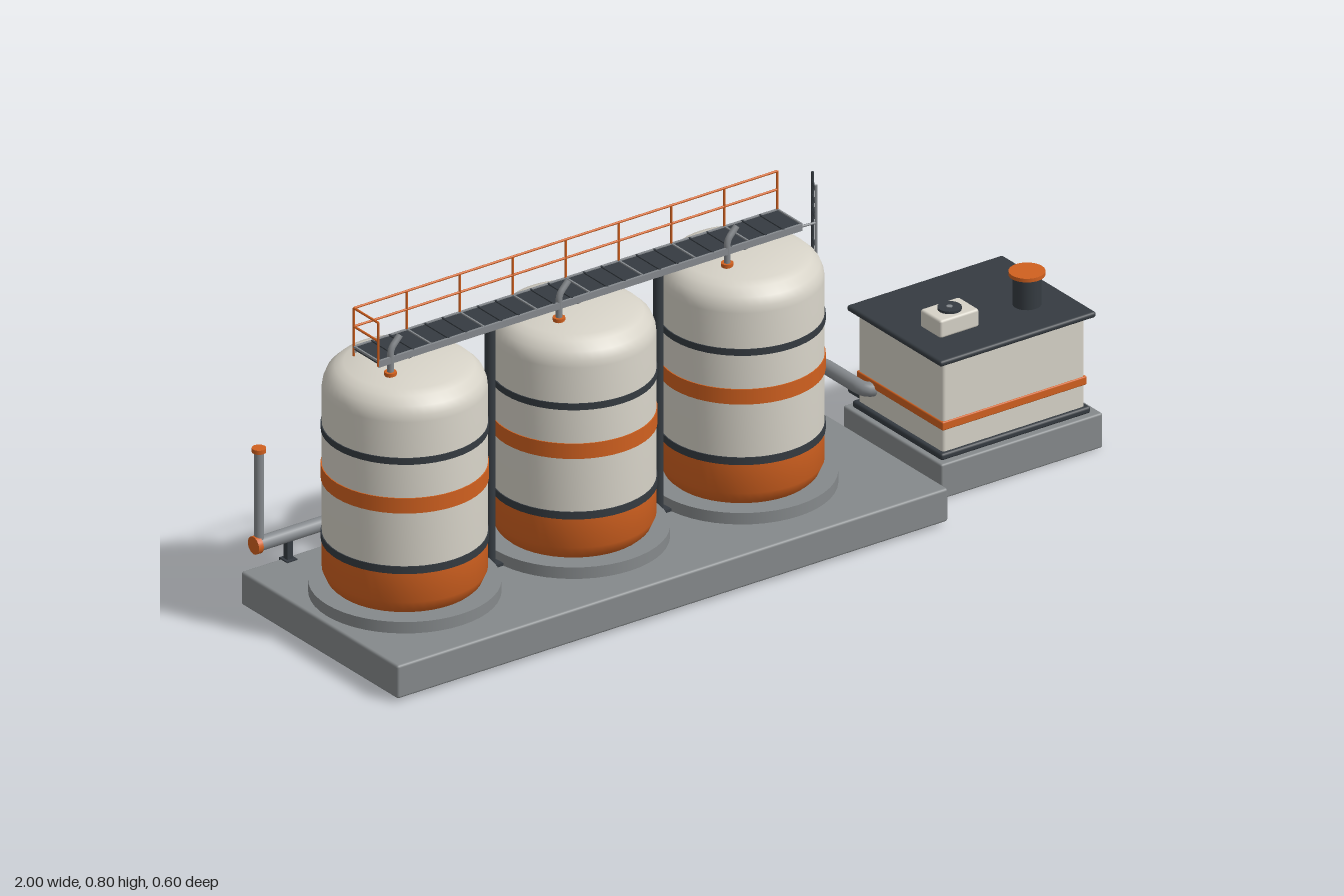
import * as THREE from 'three';
import { RoundedBoxGeometry } from 'three/addons/geometries/RoundedBoxGeometry.js';
import { toCreasedNormals } from 'three/addons/utils/BufferGeometryUtils.js';

const paint = (name, color) => Object.assign(new THREE.MeshStandardMaterial({ color }), { name });
const concrete = paint('concrete grey', 0x85898b);
const cream = paint('cream', 0xd6d2c7);
const orange = paint('orange', 0xd0601f);
const dark = paint('charcoal', 0x353b41);
const steel = paint('steel grey', 0x85898d);

const V = (x, y, z) => new THREE.Vector3(x, y, z);

function add(parent, name, geo, mat, x = 0, y = 0, z = 0) {
  const m = new THREE.Mesh(geo, mat);
  m.name = name;
  m.position.set(x, y, z);
  parent.add(m);
  return m;
}

// Box given by its extents along each axis
function box(parent, name, mat, [x0, x1], [y0, y1], [z0, z1], r = 0) {
  const s = [x1 - x0, y1 - y0, z1 - z0];
  const geo = r ? new RoundedBoxGeometry(...s, 2, r) : new THREE.BoxGeometry(...s);
  return add(parent, name, geo, mat, (x0 + x1) / 2, (y0 + y1) / 2, (z0 + z1) / 2);
}

// Round bar between two points
function rod(parent, name, mat, a, b, r, sides = 12) {
  const d = b.clone().sub(a);
  const m = add(parent, name, new THREE.CylinderGeometry(r, r, d.length(), sides), mat);
  m.position.copy(a).addScaledVector(d, 0.5);
  m.quaternion.setFromUnitVectors(V(0, 1, 0), d.normalize());
  return m;
}

// Bent pipe with straight runs and rounded corners
function pipe(parent, name, mat, pts, r, bend) {
  const path = new THREE.CurvePath();
  let from = pts[0];
  for (let i = 1; i < pts.length - 1; i++) {
    const p = pts[i];
    const a = p.clone().add(pts[i - 1].clone().sub(p).setLength(bend));
    const b = p.clone().add(pts[i + 1].clone().sub(p).setLength(bend));
    path.add(new THREE.LineCurve3(from, a));
    path.add(new THREE.QuadraticBezierCurve3(a, p, b));
    from = b;
  }
  path.add(new THREE.LineCurve3(from, pts[pts.length - 1]));
  return add(parent, name, new THREE.TubeGeometry(path, 160, r, 16), mat);
}

function lathe(parent, name, mat, pts) {
  const geo = new THREE.LatheGeometry(pts.map(p => new THREE.Vector2(...p)), 48);
  return add(parent, name, toCreasedNormals(geo, 0.6), mat);
}

function buildTank(x) {
  const t = new THREE.Group();
  t.name = 'tank';
  t.position.x = x;
  add(t, 'plinthRing', new THREE.CylinderGeometry(0.213, 0.213, 0.03, 48), concrete, 0, 0.102, 0);
  lathe(t, 'tankSkirt', orange, [[0, 0.112], [0.158, 0.112], [0.172, 0.125], [0.183, 0.15], [0.183, 0.225]]);
  lathe(t, 'tankShell', cream, [[0.183, 0.225], [0.183, 0.592], [0.181, 0.607], [0.173, 0.626],
    [0.155, 0.643], [0.135, 0.651], [0.08, 0.66], [0, 0.665]]);
  for (const [y, h, mat] of [[0.23, 0.018, dark], [0.388, 0.037, orange], [0.497, 0.016, dark]])
    add(t, 'band', new THREE.CylinderGeometry(0.1855, 0.1855, h, 48), mat, 0, y, 0);

  // Roof hatch
  add(t, 'hatch', new THREE.CylinderGeometry(0.042, 0.042, 0.016, 24), dark, 0.08, 0.66, -0.045);
  add(t, 'hatchLid', new THREE.CylinderGeometry(0.034, 0.036, 0.009, 24), dark, 0.08, 0.671, -0.045);
  add(t, 'hatchGrip', new THREE.BoxGeometry(0.03, 0.004, 0.006), orange, 0.08, 0.677, -0.045);

  // Gooseneck vent
  pipe(t, 'vent', steel, [V(-0.072, 0.645, 0.045), V(-0.072, 0.72, 0.045), V(-0.046, 0.748, 0.045)], 0.0075, 0.014);
  add(t, 'ventFlange', new THREE.CylinderGeometry(0.014, 0.014, 0.012, 16), orange, -0.072, 0.66, 0.045);

  // Level gauge
  rod(t, 'gaugeTube', dark, V(0, 0.222, -0.19), V(0, 0.508, -0.19), 0.006);
  rod(t, 'gaugeGlass', steel, V(0, 0.245, -0.197), V(0, 0.48, -0.197), 0.003);
  for (const y of [0.225, 0.502])
    box(t, 'gaugeMount', dark, [-0.008, 0.008], [y - 0.005, y + 0.005], [-0.196, -0.178]);

  // Information plate
  box(t, 'plate', dark, [-0.04, 0.04], [0.165, 0.212], [-0.192, -0.184]);
  for (const px of [-0.022, 0, 0.022]) for (const py of [0.179, 0.197])
    box(t, 'plateMark', cream, [px - 0.008, px + 0.008], [py - 0.005, py + 0.005], [-0.194, -0.19]);

  // Outlet branch and valve
  rod(t, 'outlet', orange, V(0, 0.15, -0.17), V(0, 0.15, -0.28), 0.013, 16);
  for (const z of [-0.188, -0.211, -0.255])
    rod(t, 'flange', orange, V(0, 0.15, z + 0.005), V(0, 0.15, z - 0.005), 0.023, 20);
  add(t, 'valveBody', new THREE.SphereGeometry(0.019, 16, 12), orange, 0, 0.15, -0.234);
  rod(t, 'valveStem', steel, V(0, 0.15, -0.234), V(0, 0.19, -0.234), 0.004);
  add(t, 'handwheel', new THREE.TorusGeometry(0.016, 0.003, 8, 20), orange, 0, 0.19, -0.234).rotation.x = Math.PI / 2;
  box(t, 'wheelSpoke', orange, [-0.016, 0.016], [0.188, 0.192], [-0.236, -0.232]);
  return t;
}

function buildWalkway() {
  const w = new THREE.Group();
  w.name = 'walkway';
  const x0 = -0.873, x1 = 0.28, zb = -0.042, zf = 0.049;
  box(w, 'deck', dark, [x0, x1], [0.695, 0.702], [zb, zf]);
  for (const z of [zb, zf]) box(w, 'stringer', steel, [x0, x1], [0.688, 0.704], [z - 0.003, z + 0.003]);
  for (let i = 0; i <= 24; i++) {
    const x = x0 + (x1 - x0) * i / 24;
    box(w, 'gratingBar', i % 3 ? dark : steel, [x - 0.002, x + 0.002], [0.7, 0.705], [zb, zf]);
  }
  // Columns with diagonal brackets
  for (const x of [-0.535, -0.077]) {
    rod(w, 'column', dark, V(x, 0.09, 0.003), V(x, 0.695, 0.003), 0.012, 16);
    box(w, 'columnFoot', dark, [x - 0.025, x + 0.025], [0.088, 0.096], [-0.022, 0.028]);
  }
  for (const x of [-0.765, -0.535, -0.306, -0.077, 0.152]) {
    rod(w, 'bracket', steel, V(x, 0.66, 0.003), V(x, 0.69, zf - 0.005), 0.004, 8);
    rod(w, 'bracket', steel, V(x, 0.66, 0.003), V(x, 0.69, zb + 0.005), 0.004, 8);
    rod(w, 'saddle', dark, V(x, 0.655, 0.003), V(x, 0.695, 0.003), 0.011);
  }
  // Guard rail along the back and one end
  for (let i = 0; i <= 8; i++) {
    const x = x0 + (x1 - x0) * i / 8;
    rod(w, 'railPost', orange, V(x, 0.68, zb), V(x, 0.797, zb), 0.0028, 8);
  }
  rod(w, 'railPost', orange, V(x0, 0.69, zf), V(x0, 0.797, zf), 0.0028, 8);
  for (const y of [0.752, 0.797]) {
    rod(w, 'rail', orange, V(x0, y, zb), V(x1, y, zb), 0.0028, 8);
    rod(w, 'endRail', orange, V(x0, y, zb), V(x0, y, zf), 0.0028, 8);
  }
  return w;
}

function buildLadder() {
  const l = new THREE.Group();
  l.name = 'ladder';
  const a = y => V(0.316, y, 0.053), b = y => V(0.343, y, 0.003);
  rod(l, 'ladderRail', steel, a(0.12), a(0.79), 0.0035, 8);
  rod(l, 'ladderRail', dark, b(0.12), b(0.795), 0.003, 8);
  for (let i = 0; i < 10; i++) rod(l, 'rung', dark, a(0.145 + i * 0.07), b(0.145 + i * 0.07), 0.002, 6);
  for (const y of [0.19, 0.33, 0.475, 0.58]) rod(l, 'standoff', dark, V(0.325, y, 0.003), V(0.353, y, 0.003), 0.002, 6);
  for (const y of [0.7, 0.715, 0.74, 0.77]) rod(l, 'topRung', dark, a(y), b(y), 0.002, 6);
  rod(l, 'deckLink', steel, V(0.275, 0.698, 0.049), a(0.698), 0.003, 8);
  return l;
}

function buildPipework() {
  const p = new THREE.Group();
  p.name = 'pipework';
  const z = -0.277, y = 0.15;
  pipe(p, 'header', steel, [V(-0.965, y, z), V(0.566, y, z), V(0.566, y, -0.1), V(0.61, y, -0.1)], 0.017, 0.03);
  rod(p, 'standpipe', steel, V(-0.96, y, z), V(-0.96, 0.378, z), 0.011, 16);
  rod(p, 'standpipeCap', orange, V(-0.96, 0.376, z), V(-0.96, 0.386, z), 0.016, 20);
  rod(p, 'endFlange', orange, V(-0.975, y, z), V(-0.962, y, z), 0.021, 20);
  for (const x of [-0.67, -0.215, 0.062])
    rod(p, 'collar', orange, V(x - 0.006, y, z), V(x + 0.006, y, z), 0.023, 20);
  for (const x of [-0.88, -0.6, -0.41, -0.13, 0.06, 0.33]) {
    box(p, 'pipeSupport', dark, [x - 0.008, x + 0.008], [0.085, 0.14], [z - 0.007, z + 0.007]);
    box(p, 'supportFoot', dark, [x - 0.014, x + 0.014], [0.082, 0.092], [z - 0.015, z + 0.015]);
  }
  return p;
}

function buildShed() {
  const s = new THREE.Group();
  s.name = 'pumpHouse';
  box(s, 'shedPad', concrete, [0.56, 1], [0, 0.085], [-0.18, 0.187], 0.005);
  box(s, 'shedPlinth', dark, [0.573, 0.98], [0.083, 0.1], [-0.165, 0.17], 0.006);
  box(s, 'walls', cream, [0.583, 0.97], [0.09, 0.325], [-0.156, 0.161], 0.008);
  box(s, 'wallBand', orange, [0.58, 0.973], [0.153, 0.174], [-0.158, 0.164], 0.003);
  box(s, 'roof', dark, [0.563, 0.988], [0.32, 0.334], [-0.172, 0.18], 0.006);
  // Chimney and roof unit
  add(s, 'chimney', new THREE.CylinderGeometry(0.032, 0.032, 0.08, 24), dark, 0.887, 0.37, 0.058);
  add(s, 'chimneyCap', new THREE.CylinderGeometry(0.041, 0.041, 0.009, 24), orange, 0.887, 0.411, 0.058);
  box(s, 'roofUnit', cream, [0.632, 0.738], [0.332, 0.376], [0.008, 0.085], 0.006);
  add(s, 'roofFan', new THREE.CylinderGeometry(0.027, 0.027, 0.008, 20), dark, 0.685, 0.378, 0.046);
  add(s, 'fanHub', new THREE.CylinderGeometry(0.007, 0.007, 0.009, 12), steel, 0.685, 0.379, 0.046);
  // Louvre on the end wall
  for (let i = 0; i < 6; i++) {
    const y = 0.181 + i * 0.0125;
    box(s, 'louvre', dark, [0.968, 0.975], [y - 0.0025, y + 0.0025], [-0.042, 0.051]);
  }
  // Double door, lamp, step and window on the back wall
  box(s, 'doorFrame', dark, [0.6, 0.755], [0.1, 0.288], [-0.16, -0.154]);
  for (const x of [0.606, 0.68]) {
    box(s, 'doorLeaf', steel, [x, x + 0.069], [0.102, 0.281], [-0.163, -0.157]);
  }
  for (const x of [0.668, 0.687]) box(s, 'doorHandle', orange, [x - 0.003, x + 0.003], [0.18, 0.21], [-0.168, -0.161]);
  add(s, 'doorLamp', new THREE.SphereGeometry(0.008, 12, 8), dark, 0.677, 0.297, -0.162);
  box(s, 'doorStep', dark, [0.61, 0.776], [0.082, 0.098], [-0.232, -0.155], 0.004);
  box(s, 'windowFrame', dark, [0.828, 0.92], [0.215, 0.28], [-0.162, -0.154]);
  box(s, 'windowPane', steel, [0.838, 0.91], [0.225, 0.27], [-0.164, -0.158]);
  return s;
}

export function createModel() {
  const g = new THREE.Group();
  g.name = 'tankFarm';
  box(g, 'mainPad', concrete, [-1, 0.5], [0.008, 0.089], [-0.29, 0.295], 0.006);
  for (const x of [-0.765, -0.306, 0.152]) g.add(buildTank(x));
  g.add(buildWalkway(), buildLadder(), buildPipework(), buildShed());
  return g;
}
